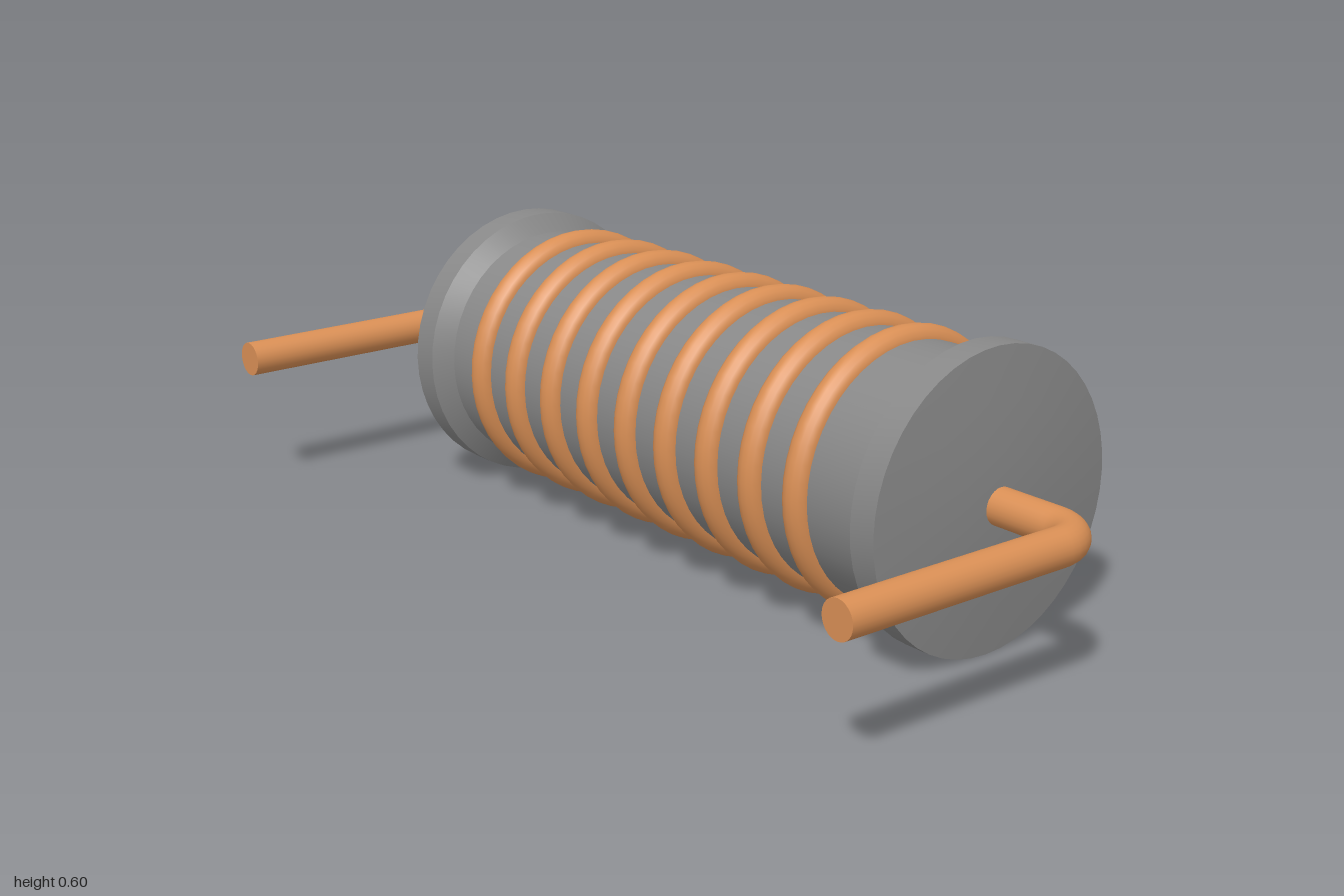
import * as THREE from 'three';
import { toCreasedNormals } from 'three/addons/utils/BufferGeometryUtils.js';

const AXIS_Y = 0.298, AXIS_Z = -0.148; // centre line of the coil
const copper = new THREE.MeshStandardMaterial({ color: 0xd98f55 });
const grey = new THREE.MeshStandardMaterial({ color: 0x888888 });

function add(group, name, geometry, material) {
  const mesh = new THREE.Mesh(geometry, material);
  mesh.name = name;
  group.add(mesh);
  return mesh;
}

// Bobbin: round core with a bevelled, slightly domed flange at each end
function bobbinGeometry() {
  const half = [[0.26, 0.645], [0.298, 0.675], [0.298, 0.735], [0.2, 0.746], [0.1, 0.753], [0, 0.756]];
  const right = half.map(([r, x]) => new THREE.Vector2(r, x));
  const left = half.map(([r, x]) => new THREE.Vector2(r, -x)).reverse();
  const lathe = new THREE.LatheGeometry([...left, ...right], 48);
  lathe.rotateZ(-Math.PI / 2);
  return toCreasedNormals(lathe, 0.35);
}

// Lead: leaves the flange along x, then bends forward to +z
function leadPath(side) {
  const x = 0.963, end = 0.445, bend = 0.075, k = bend * 0.4477;
  const p = (px, pz) => new THREE.Vector3(side * px, AXIS_Y, pz);
  const path = new THREE.CurvePath();
  const a = p(x - bend, AXIS_Z), b = p(x, AXIS_Z + bend);
  path.add(new THREE.LineCurve3(p(0.7, AXIS_Z), a));
  path.add(new THREE.CubicBezierCurve3(a, p(x - k, AXIS_Z), p(x, AXIS_Z + k), b));
  path.add(new THREE.LineCurve3(b, p(x, end)));
  return path;
}

export function createModel() {
  const model = new THREE.Group();
  model.name = 'inductorCoil';

  add(model, 'bobbin', bobbinGeometry(), grey).position.set(0, AXIS_Y, AXIS_Z);

  // Nine separate wire turns
  const windings = new THREE.Group();
  windings.name = 'windings';
  windings.position.set(0, AXIS_Y, AXIS_Z);
  model.add(windings);
  const turn = new THREE.TorusGeometry(0.255, 0.03, 16, 48).rotateY(Math.PI / 2);
  for (let i = 0; i < 9; i++) {
    add(windings, 'wireTurn', turn, copper).position.x = -0.53 + i * 0.1276;
  }

  // Bent leads with closed front ends
  for (const side of [-1, 1]) {
    const lead = new THREE.Group();
    lead.name = side > 0 ? 'leftLead' : 'rightLead';
    const path = leadPath(side);
    add(lead, 'leadWire', new THREE.TubeGeometry(path, 64, 0.037, 24), copper);
    add(lead, 'leadEnd', new THREE.CircleGeometry(0.037, 24), copper).position.copy(path.getPoint(1));
    model.add(lead);
  }
  return model;
}
